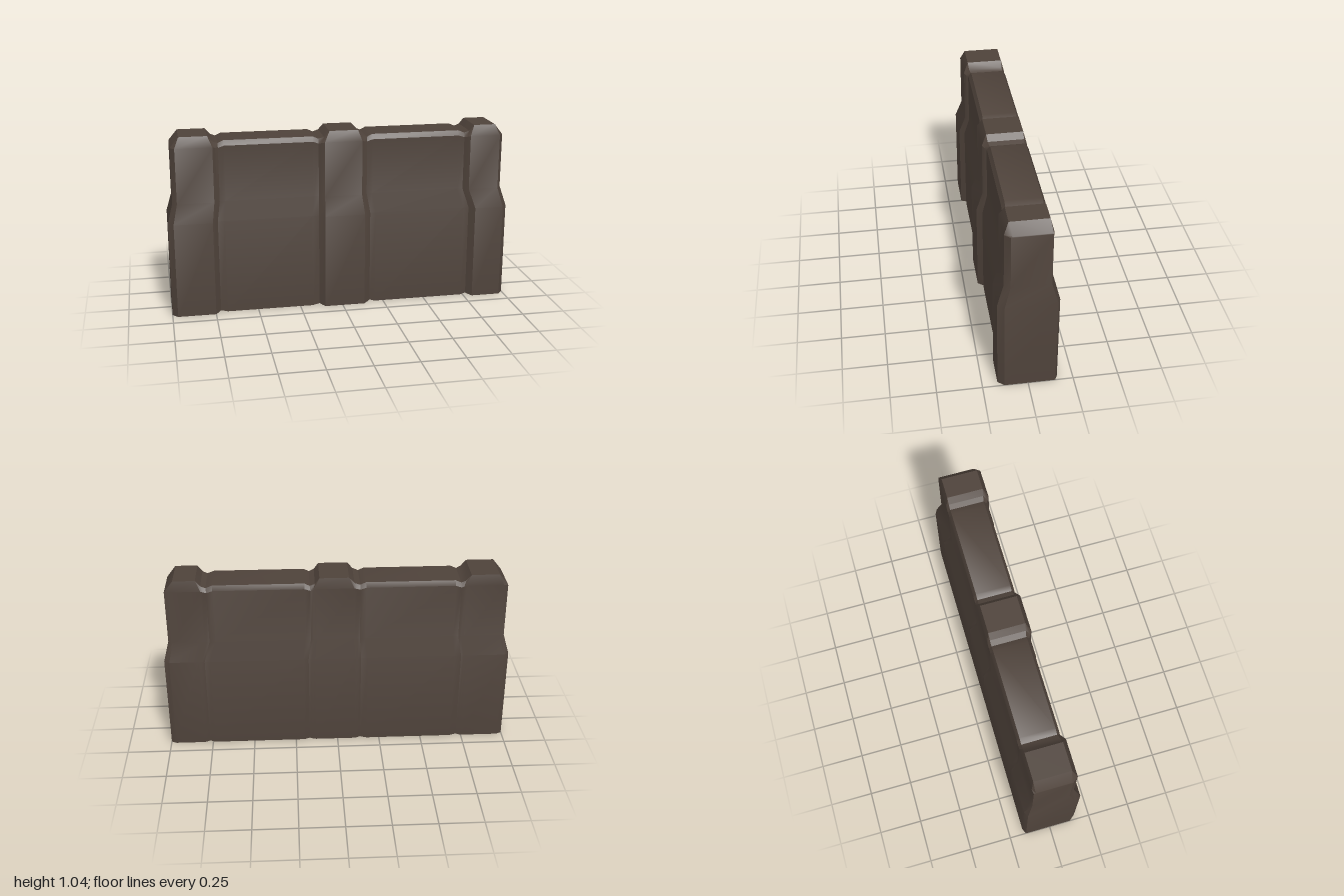
import * as THREE from 'three';
import { toCreasedNormals } from 'three/addons/utils/BufferGeometryUtils.js';

// Cross-section types: front z low / high / top, back z low / high / top, y of bottom, shoulder, top
const KIND = {
  end:    { f: [0.13, 0.095, 0.085], b: [-0.15, -0.12, -0.11], y: [0, 0.983, 0.987] },
  post:   { f: [0.165, 0.127, 0.1], b: [-0.165, -0.125, -0.11], y: [0, 0.985, 1.045] },
  step:   { f: [0.15, 0.117, 0.095], b: [-0.165, -0.125, -0.11], y: [0.004, 0.98, 1.011] },
  groove: { f: [0.135, 0.105, 0.088], b: [-0.165, -0.125, -0.11], y: [0.01, 0.976, 1.0] },
  panel:  { f: [0.135, 0.105, 0.088], b: [-0.165, -0.125, -0.11], y: [0, 0.987, 1.015] },
};

// Stations along the wall: type, x at the wide base, at the narrow upper wall, at the top
const leftPost = [
  ['end', -1, -0.97, -0.968], ['post', -0.97, -0.945, -0.92], ['post', -0.75, -0.735, -0.76],
  ['step', -0.735, -0.719, -0.73], ['groove', -0.72, -0.703, -0.703],
];
const leftPanel = [
  ['groove', -0.72, -0.703, -0.703], ['panel', -0.68, -0.67, -0.67],
  ['panel', -0.175, -0.163, -0.163], ['groove', -0.136, -0.131, -0.13],
];
const middlePost = [
  ['groove', -0.136, -0.131, -0.13], ['step', -0.12, -0.115, -0.098], ['post', -0.104, -0.098, -0.067],
  ['post', 0.131, 0.12, 0.1], ['step', 0.15, 0.136, 0.126], ['groove', 0.168, 0.152, 0.155],
];
const rightPanel = [
  ['groove', 0.168, 0.152, 0.155], ['panel', 0.2, 0.185, 0.185],
  ['panel', 0.735, 0.7, 0.7], ['groove', 0.767, 0.735, 0.738],
];
const rightPost = [
  ['groove', 0.767, 0.735, 0.738], ['step', 0.783, 0.751, 0.767], ['post', 0.8, 0.767, 0.794],
  ['post', 0.97, 0.945, 0.92], ['end', 1, 0.97, 0.968],
];

// Ten-point cross-section, up the front and down the back
function section([kind, xLow, xHigh, xTop]) {
  const { f, b, y } = KIND[kind];
  return [
    [xLow, y[0], f[0]], [xLow, 0.555, f[0]], [xHigh, 0.665, f[1]], [xHigh, y[1], f[1]], [xTop, y[2], f[2]],
    [xTop, y[2], b[2]], [xHigh, y[1], b[1]], [xHigh, 0.665, b[1]], [xLow, 0.555, b[0]], [xLow, y[0], b[0]],
  ];
}

// Skin a run of stations, closing the outer end faces
function loft(stations) {
  const positions = [];
  const quad = (a, b, c, d) => positions.push(...a, ...b, ...c, ...a, ...c, ...d);
  const rings = stations.map(section);
  for (let s = 0; s < rings.length - 1; s++) {
    for (let i = 0; i < 10; i++) {
      const j = (i + 1) % 10;
      quad(rings[s][i], rings[s + 1][i], rings[s + 1][j], rings[s][j]);
    }
  }
  rings.forEach((r, s) => {
    if (stations[s][0] !== 'end') return;
    for (let i = 0; i < 4; i++) {
      if (s === 0) quad(r[9 - i], r[i], r[i + 1], r[8 - i]);
      else quad(r[i], r[9 - i], r[8 - i], r[i + 1]);
    }
  });
  const geometry = new THREE.BufferGeometry();
  geometry.setAttribute('position', new THREE.Float32BufferAttribute(positions, 3));
  return toCreasedNormals(geometry, 0.5);
}

export function createModel() {
  const group = new THREE.Group();
  group.name = 'barrierWall';
  const material = new THREE.MeshStandardMaterial({ color: 0x4e423a });
  material.name = 'dark brown';

  // Three raised posts with two recessed panels between them (model's right is -x)
  const parts = {
    rightPost: leftPost, rightPanel: leftPanel, middlePost, leftPanel: rightPanel, leftPost: rightPost,
  };
  for (const [name, stations] of Object.entries(parts)) {
    const mesh = new THREE.Mesh(loft(stations), material);
    mesh.name = name;
    group.add(mesh);
  }
  return group;
}
